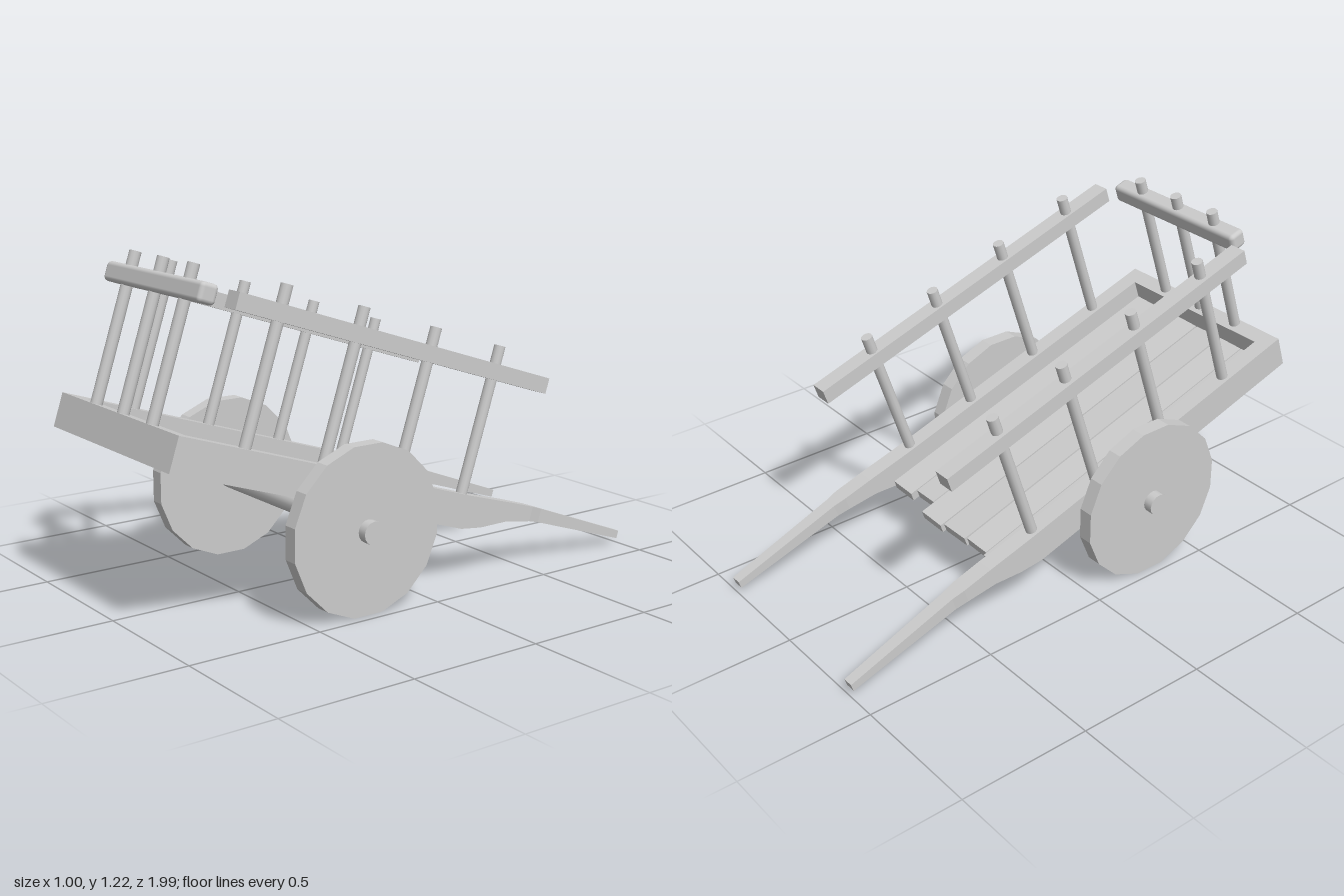
import * as THREE from 'three';
import { RoundedBoxGeometry } from 'three/addons/geometries/RoundedBoxGeometry.js';

const TILT = THREE.MathUtils.degToRad(18.2);
const AXLE_Y = 0.3, AXLE_Z = 0.275;

export function createModel() {
  const root = new THREE.Group();
  root.name = 'handCart';
  const wood = new THREE.MeshStandardMaterial({ color: 0xcccccc });
  const woodFlat = new THREE.MeshStandardMaterial({ color: 0xcccccc, flatShading: true });

  const add = (parent, name, geometry, x, y, z, material = wood) => {
    const mesh = new THREE.Mesh(geometry, material);
    mesh.name = name;
    mesh.position.set(x, y, z);
    parent.add(mesh);
    return mesh;
  };

  // Everything but wheels and axle lives in a body tilted about the axle
  const body = new THREE.Group();
  body.name = 'tiltedBody';
  body.position.set(0, AXLE_Y, AXLE_Z);
  body.rotation.x = -TILT;
  root.add(body);

  // Side beam that thins into a handle: [z, bottom, top, half width]
  const sections = [
    [0.778, 0.057, 0.18, 0.0325],
    [-0.47, 0.057, 0.18, 0.0325],
    [-0.56, 0.075, 0.182, 0.0325],
    [-0.67, 0.112, 0.185, 0.0325],
    [-0.79, 0.131, 0.186, 0.032],
    [-0.84, 0.133, 0.184, 0.026],
    [-1.287, 0.131, 0.161, 0.02],
  ];
  const beamGeometry = () => {
    const n = sections.length - 1;
    const g = new THREE.BoxGeometry(1, 1, 1, 1, 1, n);
    const p = g.attributes.position;
    for (let i = 0; i < p.count; i++) {
      const [z, bottom, top, half] = sections[Math.round((0.5 - p.getZ(i)) * n)];
      p.setXYZ(i, Math.sign(p.getX(i)) * half, p.getY(i) > 0 ? top : bottom, z);
    }
    g.computeVertexNormals();
    return g;
  };

  // Upright round post from one height to another
  const post = (name, x, z, top) => {
    const bottom = 0.14;
    add(body, name, new THREE.CylinderGeometry(0.021, 0.021, top - bottom, 12), x, (top + bottom) / 2, z);
  };

  for (const [side, label] of [[1, 'left'], [-1, 'right']]) {
    add(body, label + 'BeamAndHandle', beamGeometry(), side * 0.367, 0, 0, woodFlat);
    add(body, label + 'Rail', new THREE.BoxGeometry(0.064, 0.058, 1.395), side * 0.37, 0.629, -0.003);
    for (const z of [0.505, 0.18, -0.145, -0.455]) post(label + 'Post', side * 0.367, z, 0.724);

    // Solid disc wheel
    const wheel = new THREE.CylinderGeometry(0.304, 0.304, 0.055, 16);
    wheel.rotateY(Math.PI / 16);
    wheel.rotateZ(Math.PI / 2);
    add(root, label + 'Wheel', wheel, side * 0.4375, AXLE_Y, AXLE_Z, woodFlat);
  }

  // Front beam, posts and rail
  add(body, 'frontBeam', new THREE.BoxGeometry(0.68, 0.123, 0.063), 0, 0.1185, 0.7465);
  for (const x of [-0.193, -0.004, 0.19]) post('frontPost', x, 0.753, 0.714);
  add(body, 'frontRail', new RoundedBoxGeometry(0.635, 0.07, 0.068, 2, 0.016), 0.003, 0.628, 0.75);

  // Floor planks of uneven width and length: [left edge, right edge, back end]
  const planks = [
    [-0.335, -0.249, -0.607], [-0.244, -0.136, -0.594], [-0.131, -0.006, -0.602],
    [0, 0.114, -0.615], [0.118, 0.222, -0.557], [0.227, 0.336, -0.583],
  ];
  planks.forEach(([x0, x1, back], i) => {
    const front = 0.72;
    const plank = add(body, 'floorPlank', new THREE.BoxGeometry(x1 - x0, 0.036, front - back),
      (x0 + x1) / 2, 0.086, (front + back) / 2);
    plank.rotation.z = (i % 2 ? 1 : -1) * 0.03;
  });

  // Axle through both wheels
  const axle = new THREE.CylinderGeometry(0.041, 0.041, 1, 16);
  axle.rotateZ(Math.PI / 2);
  add(root, 'axle', axle, 0, AXLE_Y, AXLE_Z);

  return root;
}
